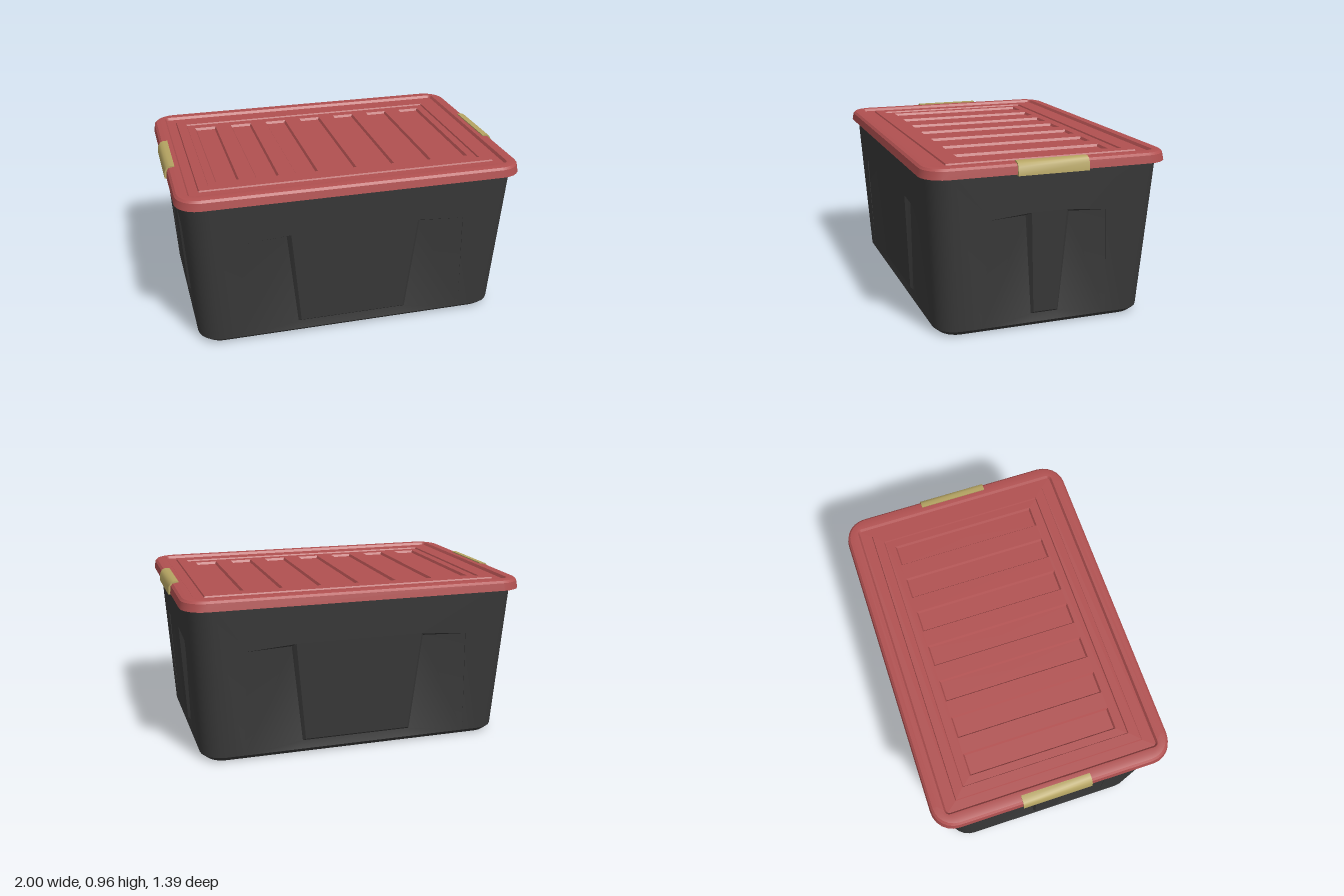
import * as THREE from 'three';
import { toCreasedNormals } from 'three/addons/utils/BufferGeometryUtils.js';

const SEG = 6; // segments per rounded corner

// Corner points of a rounded rectangle, counter-clockwise from above
function ring([hx, hz, y, r]) {
  const pts = [];
  const n = r > 0 ? SEG : 0;
  [[1, 1], [-1, 1], [-1, -1], [1, -1]].forEach(([sx, sz], q) => {
    for (let i = 0; i <= n; i++) {
      const a = (q + (n ? i / n : 0.5)) * Math.PI / 2;
      pts.push([sx * (hx - r) + r * Math.cos(a), y, -(sz * (hz - r) + r * Math.sin(a))]);
    }
  });
  return pts;
}

const quad = (out, a, b, c, d) => out.push(...a, ...b, ...c, ...a, ...c, ...d);

// Skin a list of rings [halfX, halfZ, y, radius]; optionally only the corners
function loft(out, specs, { top = false, bottom = false, cornersOnly = false } = {}) {
  const rings = specs.map(ring);
  const n = rings[0].length;
  for (let k = 0; k + 1 < rings.length; k++) {
    for (let i = 0; i < n; i++) {
      if (cornersOnly && i % (SEG + 1) === SEG) continue;
      const j = (i + 1) % n;
      quad(out, rings[k][i], rings[k][j], rings[k + 1][j], rings[k + 1][i]);
    }
  }
  const cap = (pts, y, flip) => pts.forEach((p, i) => {
    const q = pts[(i + 1) % n];
    out.push(0, y, 0, ...(flip ? q : p), ...(flip ? p : q));
  });
  if (top) cap(rings.at(-1), specs.at(-1)[2], false);
  if (bottom) cap(rings[0], specs[0][2], true);
}

function toGeometry(out, crease = 0.5) {
  const g = new THREE.BufferGeometry();
  g.setAttribute('position', new THREE.Float32BufferAttribute(out, 3));
  return toCreasedNormals(g, crease);
}

// Tub wall range, corner radius and half sizes at the bottom and top
const Y0 = 0.03, Y1 = 0.92, R = 0.13;
const LOW = [0.9, 0.61], HIGH = [0.955, 0.665];

// One wall with two tapered leg recesses either side of a central tongue
function wall(out, turn, leg) {
  const side = turn % 2;
  const w0 = LOW[side] - R, w1 = HIGH[side] - R;
  const d0 = LOW[1 - side], d1 = HIGH[1 - side];
  const place = ([u, y, depth = 0]) => {
    let x = u, z = d0 + (d1 - d0) * (y - Y0) / (Y1 - Y0) - depth;
    for (let i = 0; i < turn; i++) [x, z] = [z, -x];
    return [x, y, z];
  };
  const both = (pts) => [...pts, ...pts.map(([u, ...rest]) => [-u, ...rest]).reverse()];
  const rim = both([[-leg.foot, Y0], [-leg.shoulder, 0.65], [-leg.rimTop, 0.67], [-leg.rimLow, 0.09]]);
  const deep = both([[-leg.foot, Y0, 0], [-leg.shoulder, 0.648, 0.004],
    [-leg.deepTop, 0.652, 0.028], [-leg.deepLow, 0.078, 0.014]]);

  // outer skin
  const outline = [[-w0, Y0], ...rim, [w0, Y0], [w1, Y1], [-w1, Y1]].map(([u, y]) => new THREE.Vector2(u, y));
  const skin = new THREE.ShapeGeometry(new THREE.Shape(outline)).toNonIndexed().attributes.position;
  for (let i = 0; i < skin.count; i++) out.push(...place([skin.getX(i), skin.getY(i)]));

  // recess edges
  for (let i = 0; i < 7; i++) {
    quad(out, place(rim[i]), place(deep[i]), place(deep[i + 1]), place(rim[i + 1]));
  }
  // recess floors
  const [A, B, C, D, D2, C2, B2, A2] = deep.map(place);
  const E = place([-leg.deepLow, Y0]), E2 = place([leg.deepLow, Y0]);
  out.push(...A, ...E, ...D, ...A, ...D, ...C, ...A, ...C, ...B);
  out.push(...A2, ...D2, ...E2, ...A2, ...C2, ...D2, ...A2, ...B2, ...C2);
  quad(out, E, E2, D2, D);
}

export function createModel() {
  const group = new THREE.Group();
  group.name = 'storageTote';
  const mat = (name, color) => new THREE.MeshStandardMaterial({ name, color });
  const black = mat('charcoalPlastic', 0x383838);
  const red = mat('redPlastic', 0xb05050);
  const tan = mat('tanPlastic', 0xb5a462);
  const add = (name, geometry, material) => {
    const m = new THREE.Mesh(geometry, material);
    m.name = name;
    group.add(m);
    return m;
  };

  // Tub: base with shallow inset, rounded corners, four walls
  const tub = [];
  loft(tub, [[0.81, 0.52, 0.008, 0.04], [0.82, 0.53, 0, 0.04], [0.865, 0.575, 0, 0.1], [...LOW, Y0, R]], { bottom: true });
  loft(tub, [[...LOW, Y0, R], [...HIGH, Y1, R]], { cornersOnly: true });
  const longLeg = { foot: 0.67, shoulder: 0.645, rimTop: 0.37, rimLow: 0.31, deepTop: 0.39, deepLow: 0.325 };
  const shortLeg = { foot: 0.37, shoulder: 0.33, rimTop: 0.1, rimLow: 0.07, deepTop: 0.125, deepLow: 0.08 };
  for (let k = 0; k < 4; k++) wall(tub, k, k % 2 ? shortLeg : longLeg);
  add('tub', toGeometry(tub), black);

  // Lid: skirt and rolled rim
  const rim = [];
  loft(rim, [
    [0.935, 0.645, 0.905, 0.12], [0.985, 0.69, 0.897, 0.13], [0.99, 0.697, 0.897, 0.13],
    [0.984, 0.69, 0.94, 0.13], [0.972, 0.678, 0.952, 0.12], [0.945, 0.652, 0.957, 0.09],
    [0.915, 0.622, 0.955, 0.03], [0.905, 0.612, 0.94, 0.02],
  ]);
  add('lidRim', toGeometry(rim), red);

  // Lid: stepped frame around the panel
  const frame = [];
  loft(frame, [
    [0.905, 0.612, 0.94, 0], [0.852, 0.547, 0.94, 0], [0.848, 0.543, 0.948, 0],
    [0.792, 0.487, 0.948, 0], [0.788, 0.483, 0.94, 0],
  ]);
  add('lidFrame', toGeometry(frame, 0.3), red);

  // Lid: panel with seven recessed slots
  const rect = (T, x, hx, hz) => new T([[-1, -1], [1, -1], [1, 1], [-1, 1]]
    .map(([sx, sz]) => new THREE.Vector2(x + sx * hx, sz * hz)));
  const panel = rect(THREE.Shape, 0, 0.788, 0.483);
  const slot = [];
  loft(slot, [[0.065, 0.43, 0.94, 0], [0.057, 0.422, 0.926, 0]], { top: true });
  const slotGeometry = toGeometry(slot, 0.3);
  for (let i = -3; i <= 3; i++) {
    const x = i * 0.226;
    panel.holes.push(rect(THREE.Path, x, 0.065, 0.43));
    add('lidSlot', slotGeometry, red).position.x = x;
  }
  add('lidPanel', new THREE.ShapeGeometry(panel).rotateX(-Math.PI / 2).translate(0, 0.94, 0), red);

  // Latches gripping the short ends of the rim
  const profile = new THREE.Shape([[0.94, 0.945], [0.955, 0.89], [1, 0.89], [0.996, 0.935], [0.984, 0.955], [0.965, 0.963], [0.94, 0.963]]
    .map(([x, y]) => new THREE.Vector2(x, y)));
  const latch = toCreasedNormals(
    new THREE.ExtrudeGeometry(profile, { depth: 0.4, bevelEnabled: false }).translate(0, 0, -0.2), 0.7);
  add('leftLatch', latch, tan);
  add('rightLatch', latch, tan).rotation.y = Math.PI;

  return group;
}
